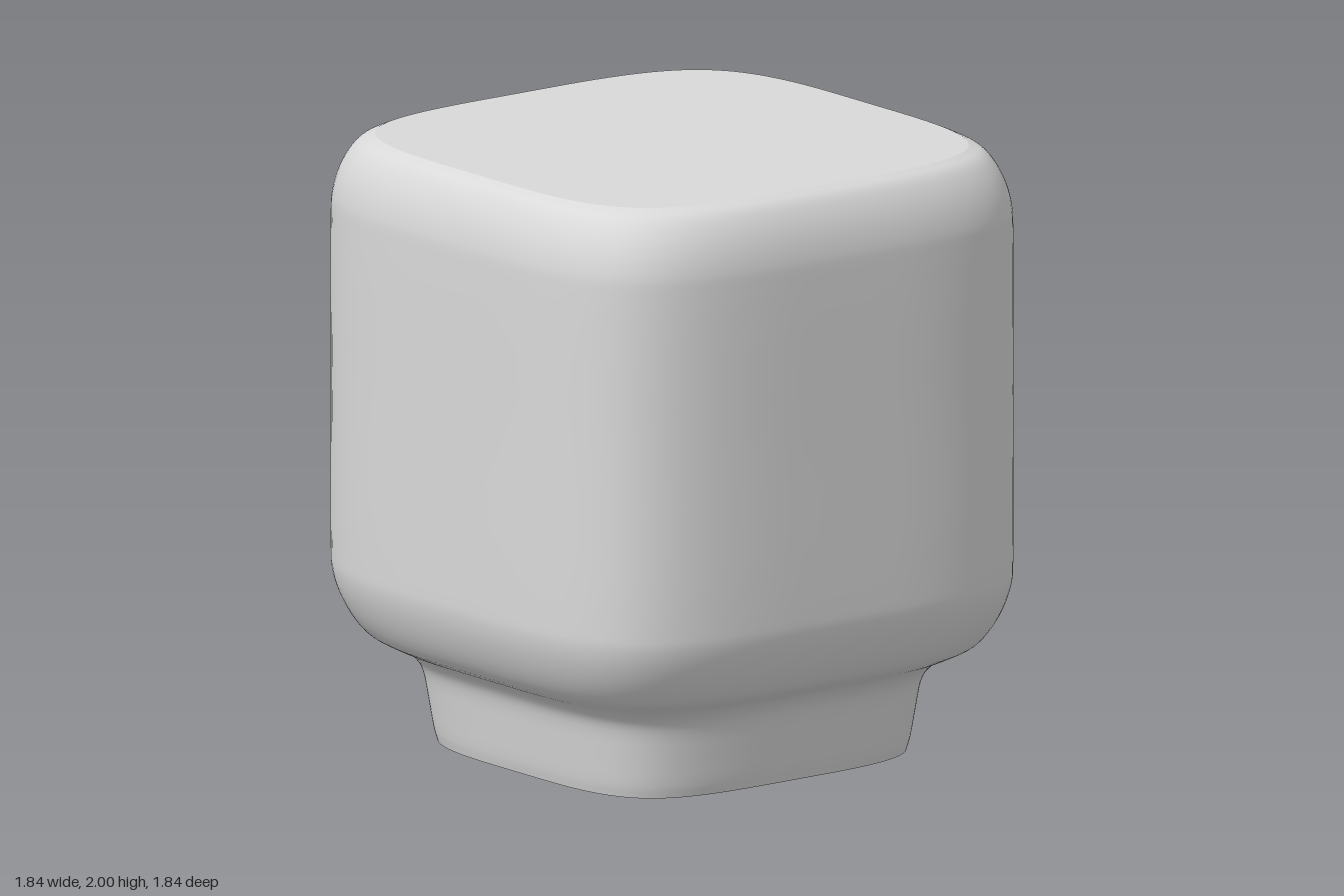
import * as THREE from 'three';

// Half width and height up the side, from the open foot to the top rim
const PROFILE = [
  [0.632, 0], [0.642, 0.04], [0.657, 0.14], [0.672, 0.23], [0.687, 0.266], [0.72, 0.302],
  [0.775, 0.331], [0.825, 0.362], [0.866, 0.418], [0.9, 0.495], [0.917, 0.565], [0.92, 0.63],
  [0.92, 1.2], [0.92, 1.74], [0.917, 1.8], [0.902, 1.87], [0.876, 1.932], [0.842, 1.978], [0.8, 2],
];

// Soft square plan of half width 1, built from one corner turned four times
function softSquare() {
  const v = (x, z) => new THREE.Vector2(x, z);
  const corner = new THREE.CubicBezierCurve(v(1, 0.2), v(1, 0.86), v(0.86, 1), v(0.2, 1)).getPoints(28);
  const side = [v(1, -0.1), v(1, 0), v(1, 0.1)];
  const points = [];
  for (let q = 0; q < 4; q++) {
    for (const p of [...side, ...corner]) {
      points.push(p.clone().rotateAround(v(0, 0), q * Math.PI / 2));
    }
  }
  return points;
}

// Skin through the plan scaled to each level of the profile
function loft(plan, levels) {
  const n = plan.length, positions = [], index = [];
  for (const [r, y] of levels) for (const p of plan) positions.push(p.x * r, y, p.y * r);
  for (let j = 0; j < levels.length - 1; j++) {
    for (let i = 0; i < n; i++) {
      const a = j * n + i, b = j * n + (i + 1) % n;
      index.push(a, a + n, b, b, a + n, b + n);
    }
  }
  const g = new THREE.BufferGeometry();
  g.setAttribute('position', new THREE.Float32BufferAttribute(positions, 3));
  g.setIndex(index);
  g.computeVertexNormals();
  return g;
}

export function createModel() {
  const group = new THREE.Group();
  group.name = 'softSquareCap';
  const grey = new THREE.MeshStandardMaterial({ color: 0xd9d9d9, side: THREE.DoubleSide });
  grey.name = 'light grey';

  // Rounded body flowing into the hollow neck
  const plan = softSquare();
  const curve = new THREE.CatmullRomCurve3(PROFILE.map(([r, y]) => new THREE.Vector3(r, y, 0)), false, 'centripetal');
  const levels = curve.getPoints((PROFILE.length - 1) * 4).map((p) => [p.x, p.y]);
  const shell = new THREE.Mesh(loft(plan, levels), grey);
  shell.name = 'bodyAndNeck';
  group.add(shell);

  // Flat top with a crisp rim
  const outline = plan.map((p) => p.clone().multiplyScalar(0.8));
  const topGeometry = new THREE.ShapeGeometry(new THREE.Shape(outline));
  topGeometry.rotateX(-Math.PI / 2).translate(0, 2, 0);
  const top = new THREE.Mesh(topGeometry, grey);
  top.name = 'topFace';
  group.add(top);

  return group;
}
